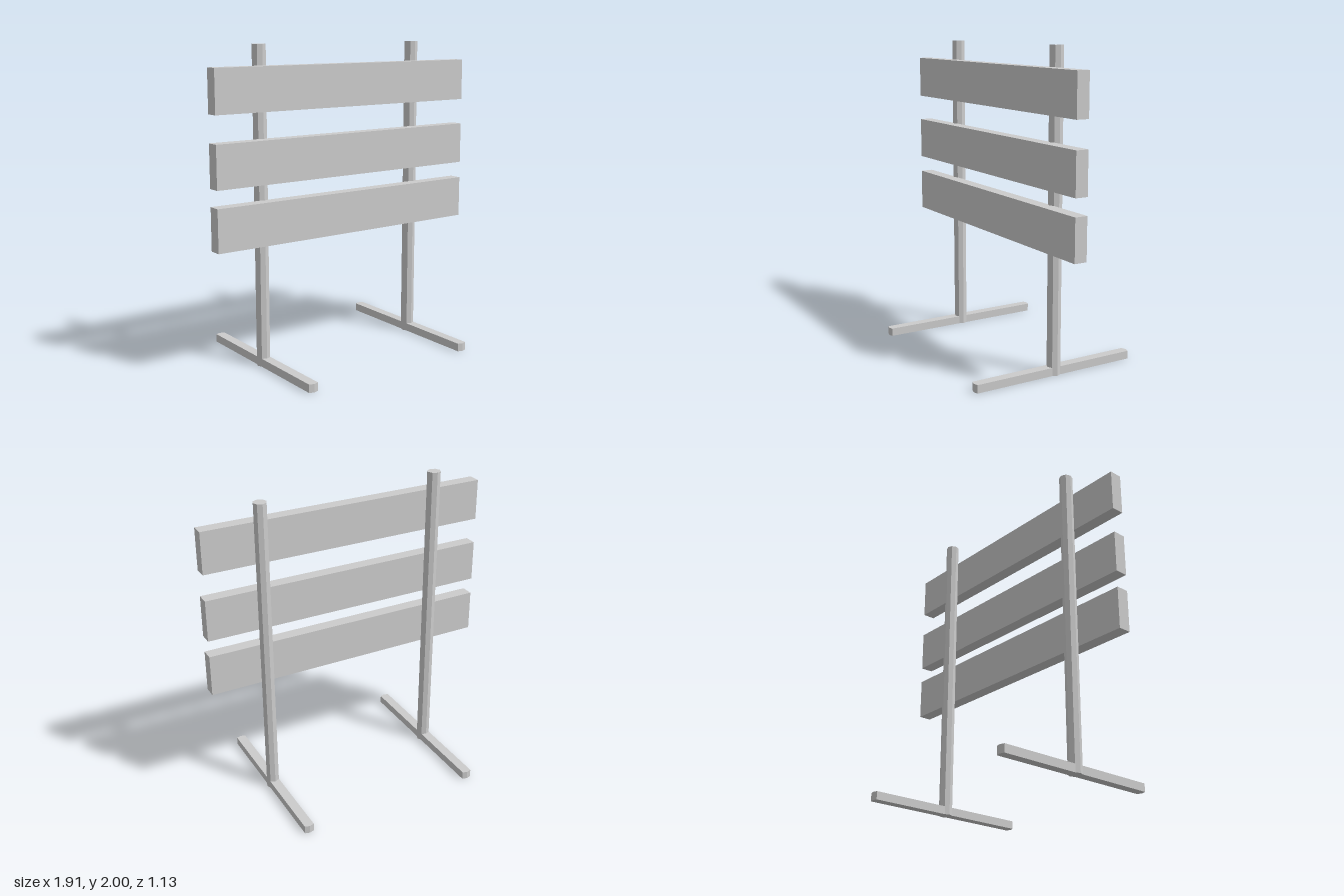
import * as THREE from 'three';

const material = new THREE.MeshStandardMaterial({ color: 0xcccccc, flatShading: true });

function addPart(parent, name, geometry, x, y, z) {
  const mesh = new THREE.Mesh(geometry, material);
  mesh.name = name;
  mesh.position.set(x, y, z);
  parent.add(mesh);
  return mesh;
}

// Flat ground bar along z, with shallow pointed ends
function footGeometry(halfWidth, halfLength, point, height) {
  const shoulder = halfLength - point;
  const outline = new THREE.Shape([
    [-halfWidth, -shoulder], [0, -halfLength], [halfWidth, -shoulder],
    [halfWidth, shoulder], [0, halfLength], [-halfWidth, shoulder],
  ].map(([x, z]) => new THREE.Vector2(x, z)));
  return new THREE.ExtrudeGeometry(outline, { depth: height, bevelEnabled: false })
    .rotateX(-Math.PI / 2);
}

export function createModel() {
  const model = new THREE.Group();
  model.name = 'slattedBarrier';

  // Two octagonal posts, each standing on its foot
  const post = new THREE.CylinderGeometry(0.043, 0.043, 2, 8);
  const foot = footGeometry(0.031, 0.563, 0.009, 0.052);
  for (const [side, sign] of [['left', 1], ['right', -1]]) {
    addPart(model, `${side}Post`, post, sign * 0.592, 1, 0);
    addPart(model, `${side}Foot`, foot, sign * 0.592, 0, 0);
  }

  // Three horizontal boards on the front of the posts
  const board = new THREE.BoxGeometry(1.912, 0.268, 0.083);
  [['lower', 0.927], ['middle', 1.303], ['upper', 1.739]].forEach(([level, y]) =>
    addPart(model, `${level}Board`, board, 0, y, 0.0715));

  return model;
}
